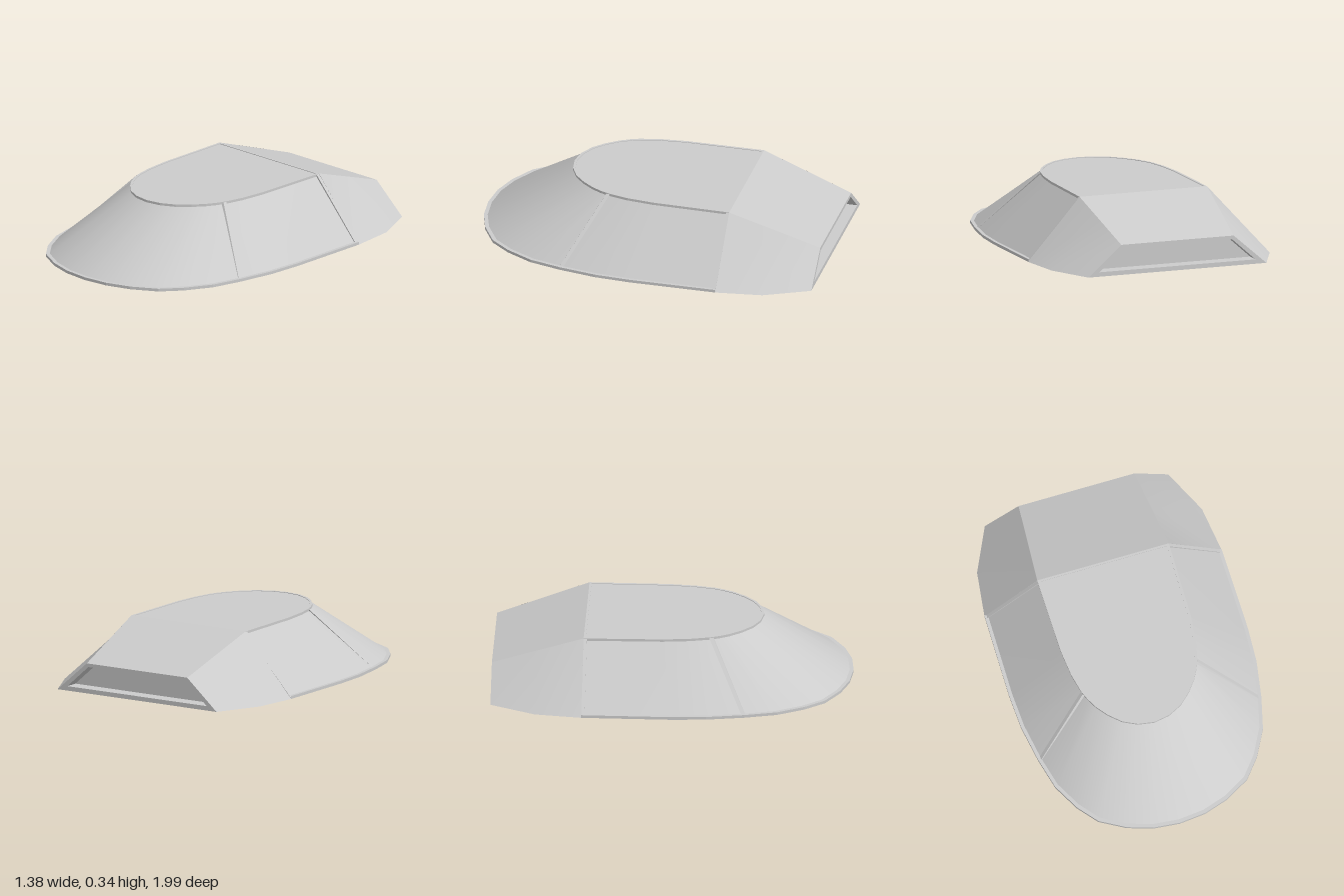
import * as THREE from 'three';

const smooth = new THREE.MeshStandardMaterial({ color: 0xcccccc, side: THREE.DoubleSide });
const faceted = new THREE.MeshStandardMaterial({ color: 0xcccccc, side: THREE.DoubleSide, flatShading: true });

// Half outlines [x, z] from the nose to the rear bulkhead; equal indices are joined by the glass
const BASE = [[0, 0.99], [0.15, 0.975], [0.29, 0.93], [0.43, 0.85], [0.52, 0.74],
  [0.6, 0.59], [0.645, 0.41], [0.68, 0.2], [0.69, 0], [0.685, -0.49]];
const ROOF = [[0, 0.495], [0.09, 0.48], [0.17, 0.44], [0.235, 0.38], [0.285, 0.315],
  [0.315, 0.26], [0.335, 0.21], [0.36, 0.1], [0.375, -0.05], [0.38, -0.49]];
const HEIGHT = 0.345, REAR = -0.49, TAIL = -1;

// Full outline at height y, drawn inward by "inset"
function outline(half, y, inset = 0) {
  const kx = 1 - inset / half[9][0], kz = 1 - inset / half[0][1];
  const side = half.map(([x, z]) => [x * kx, y, z > 0 ? z * kz : z]);
  const other = side.slice(1).reverse().map(([x, yy, z]) => [-x, yy, z]);
  return [...other, ...side];
}

// Surface through rows of points
function loft(name, rows, material = faceted, closed = false) {
  const n = rows[0].length, index = [];
  for (let r = 0; r < rows.length - 1; r++) {
    for (let i = 0; i < (closed ? n : n - 1); i++) {
      const a = r * n + i, b = r * n + (i + 1) % n;
      index.push(a, b, b + n, a, b + n, a + n);
    }
  }
  const geometry = new THREE.BufferGeometry();
  geometry.setAttribute('position', new THREE.Float32BufferAttribute(rows.flat(2), 3));
  geometry.setIndex(index);
  geometry.computeVertexNormals();
  const mesh = new THREE.Mesh(geometry, material);
  mesh.name = name;
  return mesh;
}

// Flat convex panel
function panel(name, points) {
  const geometry = new THREE.BufferGeometry();
  geometry.setAttribute('position', new THREE.Float32BufferAttribute(points.flat(), 3));
  geometry.setIndex(points.slice(2).flatMap((_, i) => [0, i + 1, i + 2]));
  geometry.computeVertexNormals();
  const mesh = new THREE.Mesh(geometry, faceted);
  mesh.name = name;
  return mesh;
}

// Rectangular rim following an outline
function rim(name, half, y0, y1, width) {
  return loft(name, [outline(half, y0), outline(half, y1), outline(half, y1, width),
    outline(half, y0, width), outline(half, y0)]);
}

// Slim bar from the base to the roof, leaning with the glass
function pillar(name, base, roof, s, width) {
  const section = ([x, z], y) => {
    const w = width / 2, t = 0.022;
    return [[s * x, y, z + w], [s * x, y, z - w], [s * (x - t), y, z - w], [s * (x - t), y, z + w]];
  };
  return loft(name, [section(base, 0.004), section(roof, HEIGHT - 0.003)], faceted, true);
}

export function createModel() {
  const model = new THREE.Group();
  model.name = 'canopy';

  // Wraparound glass and roof
  model.add(loft('wraparoundGlass', [outline(BASE, 0.012, 0.015), outline(ROOF, HEIGHT - 0.008, 0.008)], smooth));
  model.add(panel('roofPanel', outline(ROOF, HEIGHT - 0.003, 0.01)));

  // Frame
  model.add(rim('baseRim', BASE, 0, 0.016, 0.022));
  model.add(rim('roofRim', ROOF, HEIGHT - 0.014, HEIGHT, 0.014));
  for (const s of [1, -1]) {
    model.add(pillar('frontPillar', [0.64, 0.41], [0.334, 0.215], s, 0.022));
    model.add(pillar('rearPillar', [0.685, REAR + 0.009], [0.38, REAR + 0.009], s, 0.018));
  }
  const roofBar = new THREE.Mesh(new THREE.BoxGeometry(0.75, 0.012, 0.012), faceted);
  roofBar.name = 'rearRoofBar';
  roofBar.position.set(0, HEIGHT - 0.006, REAR + 0.006);
  model.add(roofBar);

  // Bulkhead between cabin and tail
  model.add(panel('bulkhead', [[0.685, 0, REAR], [-0.685, 0, REAR], [-0.38, HEIGHT, REAR], [0.38, HEIGHT, REAR]]));

  // Tail: sloping deck and tapered sides, open underneath
  model.add(panel('tailDeck', [[0.38, HEIGHT, REAR], [0.335, 0.17, TAIL], [-0.335, 0.17, TAIL], [-0.38, HEIGHT, REAR]]));
  for (const s of [1, -1]) {
    const lower = [[s * 0.685, 0, REAR], [s * 0.65, 0, -0.75], [s * 0.53, 0, TAIL]];
    const upper = [[s * 0.38, HEIGHT, REAR], [s * 0.357, 0.256, -0.75], [s * 0.335, 0.17, TAIL]];
    model.add(loft('tailSide', s > 0 ? [lower, upper] : [upper, lower], smooth));
  }

  // Recessed rear face and the sill below it
  const trapezoid = (xb, yb, xt, yt, z) => [[xb, yb, z], [-xb, yb, z], [-xt, yt, z], [xt, yt, z]];
  const inner = trapezoid(0.465, 0.025, 0.325, 0.15, -0.92);
  model.add(loft('rearFrame', [trapezoid(0.53, 0, 0.335, 0.17, TAIL),
    trapezoid(0.465, 0.025, 0.325, 0.15, TAIL), inner], faceted, true));
  model.add(panel('rearPanel', inner));
  model.add(panel('rearSill', [[0.53, 0, TAIL], [0.56, 0, -0.92], [-0.56, 0, -0.92], [-0.53, 0, TAIL]]));

  return model;
}
